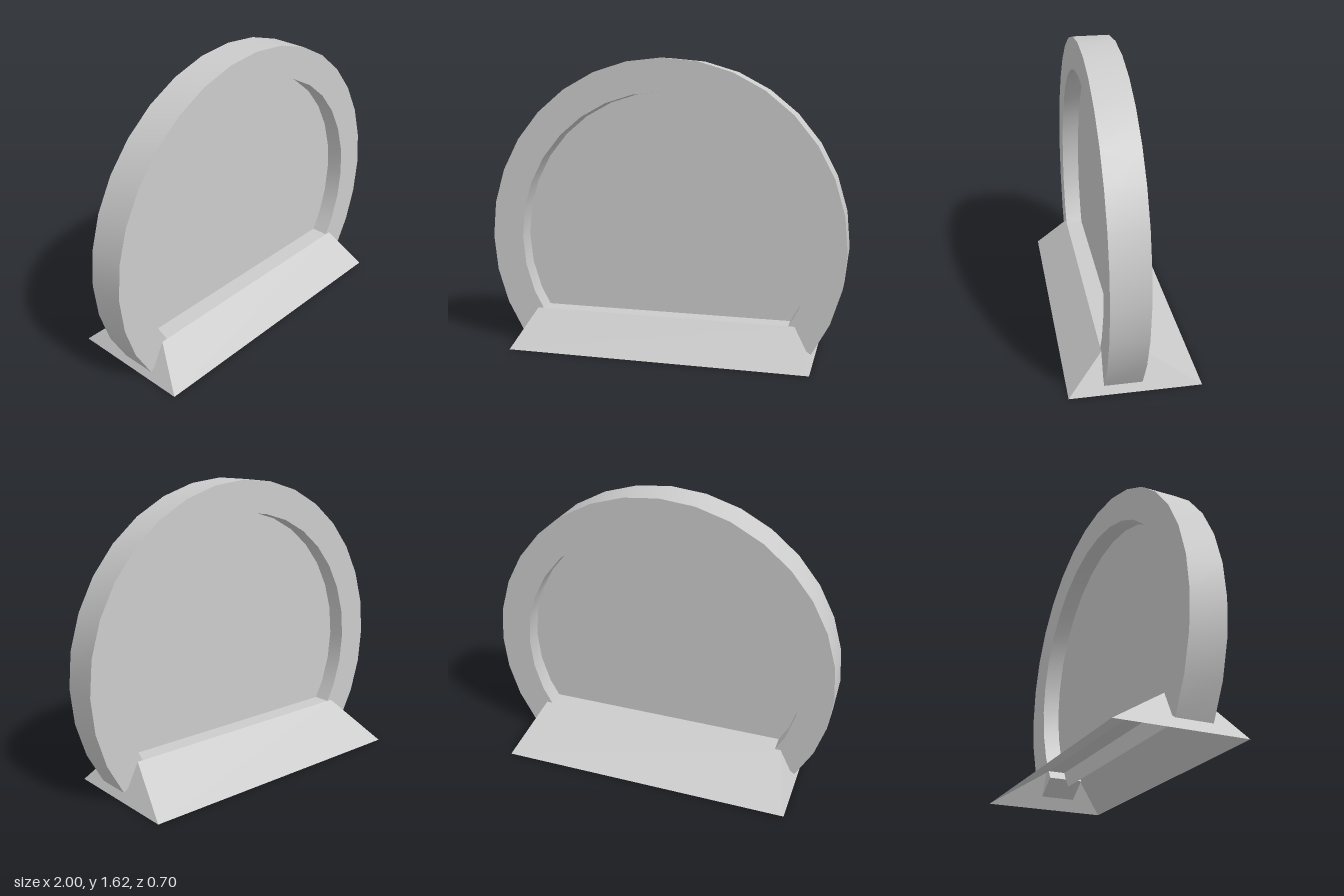
import * as THREE from 'three';
import { toCreasedNormals } from 'three/addons/utils/BufferGeometryUtils.js';

const CENTRE_Y = 0.617, OUTER = 1, INNER = 0.82;
const BACK = -0.035, FRONT = 0.165;
const STEPS = 22;

// points along an arc symmetric about the vertical, from `drop` below horizontal on each side
function arcPoints(radius, drop, steps) {
  const points = [];
  for (let i = 0; i <= steps; i++) {
    const a = -drop + (i / steps) * (Math.PI + 2 * drop);
    points.push(new THREE.Vector2(radius * Math.cos(a), CENTRE_Y + radius * Math.sin(a)));
  }
  return points;
}

export function createModel() {
  const group = new THREE.Group();
  const material = new THREE.MeshStandardMaterial({ color: 0xcccccc });
  const sheet = new THREE.MeshStandardMaterial({ color: 0xcccccc, side: THREE.DoubleSide });
  const flat = new THREE.MeshStandardMaterial({ color: 0xcccccc, side: THREE.DoubleSide, flatShading: true });

  const add = (name, geometry, mat) => {
    const mesh = new THREE.Mesh(geometry, mat);
    mesh.name = name;
    group.add(mesh);
    return mesh;
  };

  // open ring frame with radial ends tucked into the stand
  const drop = THREE.MathUtils.degToRad(34.4);
  const outline = [...arcPoints(OUTER, drop, STEPS), ...arcPoints(INNER, drop, STEPS).reverse()];
  const ring = new THREE.ExtrudeGeometry(new THREE.Shape(outline), { depth: FRONT - BACK, bevelEnabled: false });
  add('ringFrame', toCreasedNormals(ring, Math.PI / 6), material).position.z = BACK;

  // thin panel in the middle of the ring, its straight lower edge inside the stand
  const panelDrop = Math.asin((CENTRE_Y - 0.1) / INNER);
  const panelOutline = arcPoints(INNER, drop, STEPS);
  const foot = INNER * Math.cos(panelDrop);
  panelOutline.push(new THREE.Vector2(-foot, 0.1), new THREE.Vector2(foot, 0.1));
  add('panel', new THREE.ShapeGeometry(new THREE.Shape(panelOutline)), sheet)
    .position.z = (FRONT + BACK) / 2;

  // hollow stand: tapered shell with a flat top and no underside
  const corners = [
    -0.835, 0, 0.35, 0.835, 0, 0.35, 0.835, 0, -0.35, -0.835, 0, -0.35,
    -0.735, 0.2, FRONT, 0.735, 0.2, FRONT, 0.735, 0.2, BACK, -0.735, 0.2, BACK,
  ];
  const faces = [4, 5, 6, 4, 6, 7];
  for (let i = 0; i < 4; i++) {
    const j = (i + 1) % 4;
    faces.push(i, j, j + 4, i, j + 4, i + 4);
  }
  let stand = new THREE.BufferGeometry();
  stand.setAttribute('position', new THREE.Float32BufferAttribute(corners, 3));
  stand.setIndex(faces);
  stand = stand.toNonIndexed();
  stand.computeVertexNormals();
  add('stand', stand, flat);

  return group;
}
